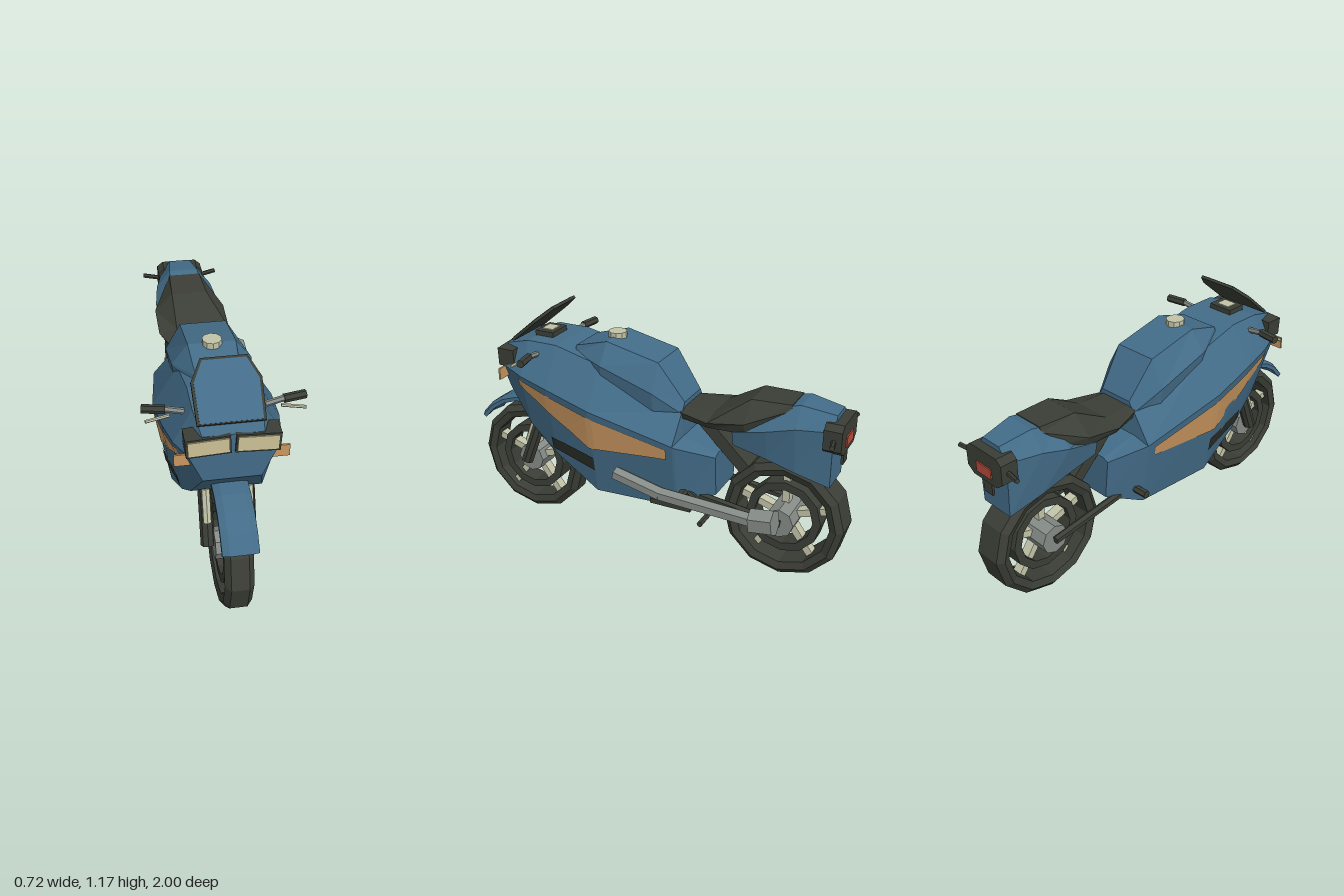
import * as THREE from 'three';

const mat = (name, color, side = THREE.FrontSide) => {
  const m = new THREE.MeshStandardMaterial({ color, side });
  m.name = name;
  return m;
};

// Mirrored cross-sections joined front to back; each is [z, [x, y], ...] from top to bottom
function loft(sections) {
  const pos = [], idx = [], n = (sections[0].length - 1) * 2;
  for (const [z, ...half] of sections) {
    const ring = [...half, ...half.map(([x, y]) => [-x, y]).reverse()];
    ring.forEach(([x, y]) => pos.push(x, y, z));
  }
  const last = (sections.length - 1) * n;
  for (let s = 0; s < last; s += n) {
    for (let k = 0; k < n; k++) {
      const a = s + k, b = s + (k + 1) % n;
      idx.push(a, b, a + n, b, b + n, a + n);
    }
  }
  for (let k = 1; k < n - 1; k++) idx.push(0, k + 1, k, last, last + k, last + k + 1);
  const g = new THREE.BufferGeometry();
  g.setAttribute('position', new THREE.Float32BufferAttribute(pos, 3));
  g.setIndex(idx);
  return g;
}

export function createModel() {
  const root = new THREE.Group();
  root.name = 'motorcycle';
  const blue = mat('bluePaint', 0x436c88, THREE.DoubleSide);
  const dark = mat('darkRubber', 0x3b3e36);
  const grey = mat('greyMetal', 0x858b87);
  const pale = mat('paleMetal', 0xc2c4a8);
  const cream = mat('headlightGlass', 0xcdc196);
  const orange = mat('orangeTrim', 0xcb9860, THREE.DoubleSide);
  const black = mat('intakeBlack', 0x2a2d28, THREE.DoubleSide);
  const red = mat('redLight', 0xb84c3c);

  // Flat-shaded mesh
  const add = (name, geo, material, parent = root) => {
    const g = geo.index ? geo.toNonIndexed() : geo;
    g.computeVertexNormals();
    const m = new THREE.Mesh(g, material);
    m.name = name;
    parent.add(m);
    return m;
  };
  const box = (name, size, at, material, parent) => {
    const m = add(name, new THREE.BoxGeometry(...size), material, parent);
    m.position.set(...at);
    return m;
  };
  // Cylinder or cone from point a to point b
  const rod = (name, a, b, r, material, sides = 6, r2 = r) => {
    const p = new THREE.Vector3(...a), q = new THREE.Vector3(...b), d = q.clone().sub(p);
    const m = add(name, new THREE.CylinderGeometry(r2, r, d.length(), sides), material);
    m.position.copy(p).add(q).multiplyScalar(0.5);
    m.quaternion.setFromUnitVectors(new THREE.Vector3(0, 1, 0), d.normalize());
    return m;
  };
  const lathe = (name, pts, material, parent, segs = 12, start = 0, len = Math.PI * 2) => {
    const m = add(name, new THREE.LatheGeometry(pts.map(p => new THREE.Vector2(...p)), segs, start, len), material, parent);
    m.rotation.z = Math.PI / 2;
    return m;
  };

  // Wheels: tyre, inner ring, spokes and hub
  const wheel = (name, z, w, hub) => {
    const g = new THREE.Group();
    g.name = name;
    g.position.set(0, 0.3, z);
    root.add(g);
    const i = w * 0.85;
    lathe('tyre', [[0.235, -i], [0.27, -w], [0.3, 0.025 - w], [0.3, w - 0.025], [0.27, w], [0.235, i], [0.235, -i]], dark, g);
    lathe('innerRing', [[0.145, -0.05], [0.185, -0.05], [0.185, 0.05], [0.145, 0.05], [0.145, -0.05]], dark, g);
    for (let k = 0; k < 5; k++) {
      const arm = new THREE.Group();
      arm.name = 'spoke';
      arm.rotation.x = k * Math.PI * 2 / 5;
      g.add(arm);
      box('spokeBar', [0.05, 0.19, 0.035], [0, 0.15, 0], pale, arm);
    }
    lathe('hub', [[0, -hub], [0.073, -hub], [0.073, hub], [0, hub]], grey, g, 8);
  };
  wheel('frontWheel', 0.7, 0.065, 0.07);
  wheel('rearWheel', -0.7, 0.09, 0.115);

  // Front fender
  lathe('frontFender', [[0.325, -0.08], [0.345, -0.08], [0.36, -0.05], [0.36, 0.05], [0.345, 0.08], [0.325, 0.08], [0.335, 0], [0.325, -0.08]],
    blue, root, 5, 0.61, 1.25).position.set(0, 0.3, 0.7);

  // Fairing
  const fairing = add('fairing', loft([
    [0.755, [0.13, 0.96], [0.19, 0.87], [0.127, 0.725]],
    [0.62, [0.15, 1.0], [0.235, 0.84], [0.16, 0.555]],
    [0.46, [0.15, 1.0], [0.262, 0.81], [0.18, 0.43]],
    [0.22, [0.16, 0.945], [0.28, 0.75], [0.2, 0.29]],
    [-0.2, [0.12, 0.77], [0.23, 0.635], [0.18, 0.295]],
    [-0.21, [0.13, 0.65], [0.226, 0.63], [0.178, 0.298]],
    [-0.38, [0.1, 0.59], [0.13, 0.575], [0.11, 0.37]],
  ]), blue);

  // Thin trim panels laid on the fairing side; rows are [z, topY, bottomY]
  const ray = new THREE.Raycaster();
  const panel = (name, rows, material) => {
    const steps = 24, cols = 4, pts = [], idx = [];
    for (let s = 0; s <= steps; s++) {
      const z = THREE.MathUtils.lerp(rows[0][0], rows.at(-1)[0], s / steps);
      const k = Math.max(1, rows.findIndex(r => r[0] <= z + 1e-6));
      const a = rows[k - 1], b = rows[k], t = (a[0] - z) / (a[0] - b[0]);
      for (let c = 0; c <= cols; c++) {
        const y = THREE.MathUtils.lerp(a[1] + (b[1] - a[1]) * t, a[2] + (b[2] - a[2]) * t, c / cols);
        ray.set(new THREE.Vector3(1, y, z), new THREE.Vector3(-1, 0, 0));
        const hit = ray.intersectObject(fairing)[0];
        pts.push((hit ? hit.point.x : 0.2) + 0.006, y, z);
        if (s < steps && c < cols) {
          const v = s * (cols + 1) + c, w = v + cols + 1;
          idx.push(v, v + 1, w, v + 1, w + 1, w);
        }
      }
    }
    for (const side of [1, -1]) {
      const g = new THREE.BufferGeometry();
      g.setAttribute('position', new THREE.Float32BufferAttribute(pts.map((p, i) => i % 3 ? p : p * side), 3));
      g.setIndex(side > 0 ? idx : idx.slice().reverse());
      add(name, g, material);
    }
  };
  panel('sideStripe', [[0.643, 0.825, 0.79], [0.24, 0.72, 0.54], [-0.17, 0.615, 0.563]], orange);
  panel('sideIntake', [[0.477, 0.53, 0.466], [0.216, 0.488, 0.415]], black);

  // Tank, cap, seat and tail
  add('tank', loft([
    [0.375, [0.1, 1.0], [0.11, 0.97], [0.11, 0.88]],
    [0.2, [0.11, 1.05], [0.185, 0.95], [0.17, 0.85]],
    [-0.07, [0.11, 0.99], [0.18, 0.86], [0.16, 0.72]],
    [-0.2, [0.09, 0.81], [0.12, 0.76], [0.1, 0.66]],
  ]), blue);
  rod('fuelCap', [0, 1.04, 0.2], [0, 1.07, 0.2], 0.045, pale, 10);
  add('seat', loft([
    [-0.15, [0.08, 0.785], [0.11, 0.77], [0.1, 0.735]],
    [-0.35, [0.09, 0.79], [0.18, 0.77], [0.16, 0.74]],
    [-0.53, [0.09, 0.89], [0.18, 0.8], [0.16, 0.745]],
    [-0.72, [0.08, 0.895], [0.09, 0.87], [0.09, 0.78]],
  ]), dark);
  add('tail', loft([
    [-0.47, [0.09, 0.76], [0.165, 0.745], [0.15, 0.675]],
    [-0.63, [0.08, 0.87], [0.165, 0.78], [0.135, 0.63]],
    [-0.76, [0.075, 0.9], [0.145, 0.81], [0.12, 0.585]],
    [-0.92, [0.055, 0.875], [0.1, 0.81], [0.09, 0.53]],
  ]), blue);
  add('tailLightHousing', loft([
    [-0.88, [0.09, 0.85], [0.12, 0.825], [0.12, 0.73], [0.08, 0.7]],
    [-0.965, [0.09, 0.85], [0.12, 0.825], [0.12, 0.73], [0.08, 0.7]],
  ]), dark);
  box('tailLight', [0.1, 0.05, 0.008], [0, 0.755, -0.967], red);
  box('plateHolder', [0.06, 0.08, 0.012], [0, 0.67, -0.95], dark);

  // Windscreen: dark plate with a painted inset
  const screen = new THREE.Group();
  screen.name = 'windscreen';
  screen.position.set(0, 0.985, 0.715);
  screen.rotation.x = -0.87;
  root.add(screen);
  const pane = (name, half, depth, z, material) => {
    const s = new THREE.Shape([...half, ...half.map(([x, y]) => [-x, y]).reverse()].map(p => new THREE.Vector2(...p)));
    add(name, new THREE.ExtrudeGeometry(s, { depth, bevelEnabled: false }), material, screen).position.z = z;
  };
  pane('screenFrame', [[0.145, 0], [0.15, 0.185], [0.1, 0.285]], 0.014, -0.007, dark);
  pane('screenPane', [[0.133, 0.005], [0.138, 0.18], [0.094, 0.274]], 0.004, 0.006, blue);

  // Instruments
  box('instrumentPanel', [0.13, 0.05, 0.1], [0, 1.0, 0.58], dark);
  box('instrumentDial', [0.07, 0.006, 0.06], [0, 1.027, 0.58], pale);

  // Frame, exhaust and right-hand parts
  box('rearShock', [0.12, 0.06, 0.38], [0, 0.61, -0.395], dark).rotation.x = -0.767;
  const pipe = [[0.285, 0.465, 0.07], [0.285, 0.41, -0.17], [0.285, 0.39, -0.65]];
  rod('exhaustFront', pipe[0], pipe[1], 0.035, grey);
  rod('exhaustRear', pipe[1], pipe[2], 0.035, grey);
  rod('muffler', [0.285, 0.39, -0.63], [0.285, 0.405, -0.74], 0.062, grey);
  rod('exhaustBracket', [0.11, 0.31, -0.69], [0.285, 0.38, -0.67], 0.015, dark);
  box('footLever', [0.03, 0.025, 0.21], [0.23, 0.335, -0.2], dark);
  rod('footPeg', [0.18, 0.338, -0.4], [0.345, 0.338, -0.4], 0.014, dark);
  rod('footPegMount', [0.15, 0.38, -0.24], [0.22, 0.338, -0.42], 0.014, dark);

  // Paired parts
  for (const s of [1, -1]) {
    box('headlightHousing', [0.19, 0.09, 0.09], [s * 0.105, 0.913, 0.722], dark).rotation.z = s * -0.05;
    box('headlight', [0.174, 0.072, 0.008], [s * 0.104, 0.913, 0.769], cream).rotation.z = s * -0.05;
    box('frontIndicator', [0.075, 0.058, 0.009], [s * 0.208, 0.835, 0.735], orange);
    rod('forkLeg', [s * 0.097, 0.3, 0.705], [s * 0.097, 0.6, 0.59], 0.032, dark, 8);
    rod('forkTube', [s * 0.097, 0.42, 0.688], [s * 0.097, 0.57, 0.631], 0.02, pale, 6);
    rod('handlebar', [s * 0.13, 0.94, 0.56], [s * 0.27, 0.965, 0.545], 0.014, grey);
    rod('grip', [s * 0.255, 0.962, 0.548], [s * 0.355, 0.963, 0.53], 0.02, dark);
    rod('brakeLever', [s * 0.24, 0.945, 0.57], [s * 0.345, 0.938, 0.59], 0.008, pale);
    rod('swingarm', [s * 0.125, 0.36, -0.28], [s * 0.125, 0.305, -0.71], 0.02, dark);
    rod('sidePeg', [s * 0.17, 0.38, -0.24], [s * 0.245, 0.38, -0.24], 0.02, dark);
    rod('rearIndicator', [s * 0.11, 0.775, -0.925], [s * 0.2, 0.785, -0.945], 0.012, dark);
  }
  return root;
}
